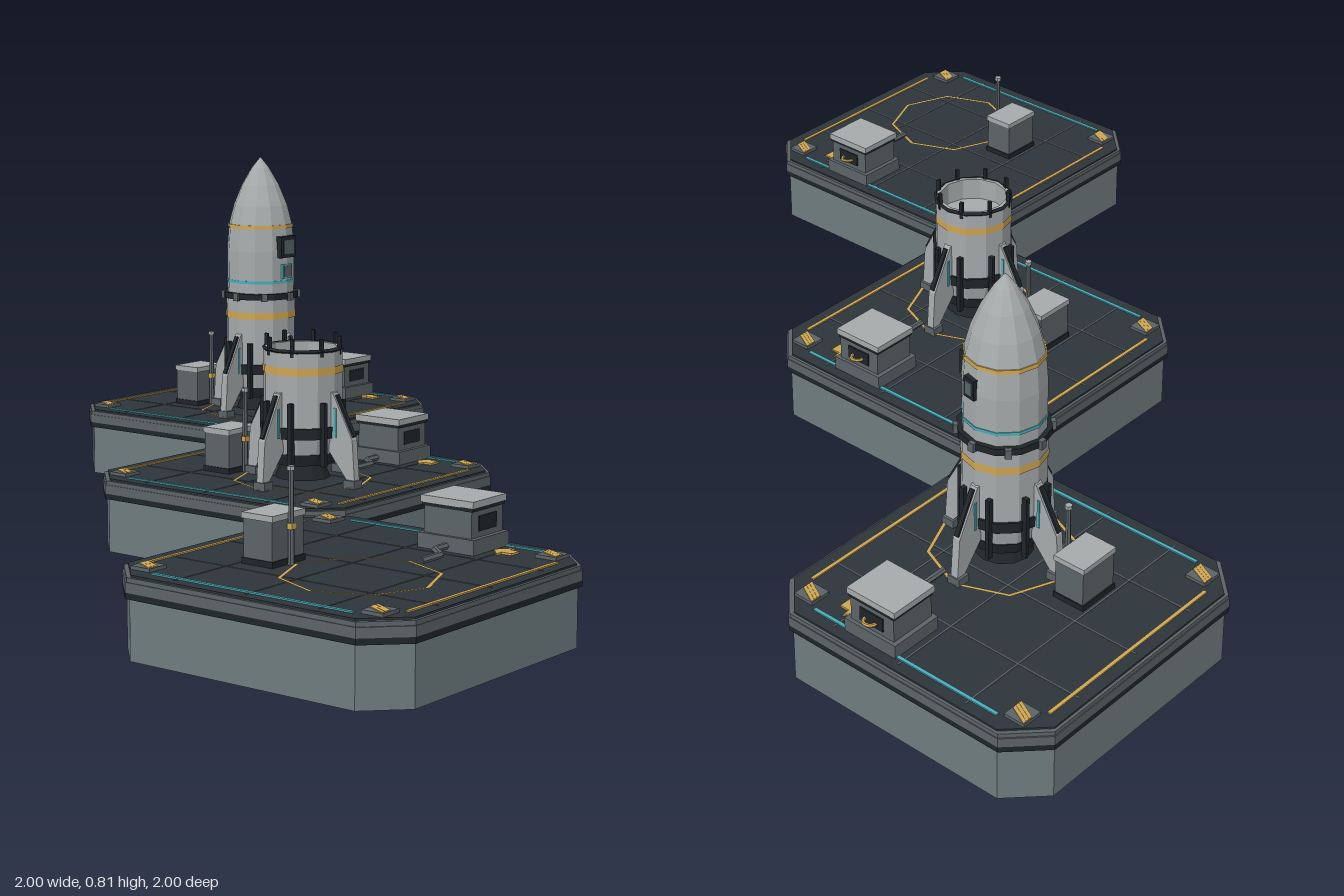
import * as THREE from 'three';

const mat = (name, color, extra = {}) => {
  const m = new THREE.MeshStandardMaterial({ color, ...extra });
  m.name = name;
  return m;
};
const HULL = mat('pale hull', 0xa6abab, { flatShading: true, side: THREE.DoubleSide });
const BASE = mat('concrete grey', 0x6f7c7f, { flatShading: true });
const DECK = mat('dark deck', 0x2d353b, { flatShading: true });
const DARK = mat('black trim', 0x1f2529, { flatShading: true });
const STEEL = mat('mid steel', 0x5c6468, { flatShading: true });
const GOLD = mat('amber marking', 0xcfa652, { flatShading: true });
const CYAN = mat('cyan marking', 0x48aebb, { flatShading: true });
const GLASS = mat('window glass', 0x56646a, { flatShading: true });

const TOP = 0.165; // deck height
const HALF = 0.344;

function add(group, name, geometry, material, x = 0, y = 0, z = 0, ry = 0) {
  const m = new THREE.Mesh(geometry, material);
  m.name = name;
  m.position.set(x, y, z);
  m.rotation.y = ry;
  group.add(m);
  return m;
}
const box = (g, name, m, w, h, d, x, y, z, ry) =>
  add(g, name, new THREE.BoxGeometry(w, h, d), m, x, y, z, ry);
const drum = (g, name, m, rTop, rBottom, y0, y1, sides = 12) =>
  add(g, name, new THREE.CylinderGeometry(rTop, rBottom, y1 - y0, sides), m, 0, (y0 + y1) / 2, 0);

// Horizontal plate from outline points (x, -z)
function plate(g, name, m, pts, y, h, x = 0, z = 0) {
  const shape = new THREE.Shape(pts.map(p => new THREE.Vector2(...p)));
  const geo = new THREE.ExtrudeGeometry(shape, { depth: h, bevelEnabled: false });
  geo.rotateX(-Math.PI / 2);
  return add(g, name, geo, m, x, y, z);
}

function chamferedSquare(s, c = 0.075) {
  const k = s - c;
  return [[-k, -s], [k, -s], [s, -k], [s, k], [k, s], [-k, s], [-s, k], [-s, -k]];
}

function platform() {
  const g = new THREE.Group();
  g.name = 'platform';
  plate(g, 'foundation', BASE, chamferedSquare(0.338), 0, 0.12);
  plate(g, 'lowerTrim', DARK, chamferedSquare(HALF), 0.12, 0.012);
  plate(g, 'rim', STEEL, chamferedSquare(HALF), 0.132, 0.02);
  plate(g, 'rimEdge', STEEL, chamferedSquare(0.342), 0.152, 0.009);
  plate(g, 'deck', DECK, chamferedSquare(0.336), 0.155, 0.01);

  // Panel seams
  for (const p of [-0.17, 0, 0.17]) {
    box(g, 'deckSeam', STEEL, 0.003, 0.002, 0.64, p, TOP, 0);
    box(g, 'deckSeam', STEEL, 0.64, 0.002, 0.003, 0, TOP, p);
  }
  // Border lines and striped corner plates
  for (const s of [-1, 1]) {
    box(g, 'amberBorder', GOLD, 0.48, 0.004, 0.008, 0, TOP + 0.001, s * 0.305);
    box(g, 'cyanBorder', CYAN, 0.008, 0.004, 0.47, s * 0.305, TOP + 0.001, 0);
    for (const t of [-1, 1]) {
      box(g, 'cornerPlate', STEEL, 0.048, 0.008, 0.048, s * 0.276, TOP + 0.003, t * 0.271);
      for (const k of [-0.014, 0, 0.014]) {
        plate(g, 'hazardStripe', GOLD,
          [[-0.015, -0.022], [-0.007, -0.022], [0.015, 0.022], [0.007, 0.022]],
          TOP + 0.006, 0.003, s * 0.276 + k * 0.6, t * 0.271);
      }
    }
  }
  // Landing ring
  const ring = new THREE.RingGeometry(0.148, 0.156, 8, 1).rotateX(-Math.PI / 2);
  add(g, 'landingRing', ring, GOLD, -0.083, TOP + 0.003, 0.083);
  // Arrow towards the supply unit
  plate(g, 'arrow', GOLD, [[-0.014, -0.025], [0.014, -0.025], [0.014, -0.002], [0.032, -0.002],
    [0, 0.025], [-0.032, -0.002], [-0.014, -0.002]], TOP, 0.004, 0.252, 0.178);
  return g;
}

function equipment() {
  const g = new THREE.Group();
  g.name = 'equipment';
  // Control cabinet with mast
  box(g, 'cabinet', STEEL, 0.095, 0.088, 0.07, -0.083, TOP + 0.044, -0.125);
  box(g, 'cabinetLid', HULL, 0.1, 0.012, 0.076, -0.083, 0.259, -0.125);
  box(g, 'cabinetFoot', DARK, 0.1, 0.012, 0.076, -0.083, TOP + 0.006, -0.125);
  add(g, 'mast', new THREE.CylinderGeometry(0.005, 0.007, 0.185, 6), STEEL, -0.083, 0.257, -0.082);
  add(g, 'mastCap', new THREE.CylinderGeometry(0.008, 0.008, 0.008, 6), HULL, -0.083, 0.351, -0.082);
  box(g, 'mastBracket', GOLD, 0.016, 0.012, 0.012, -0.083, 0.24, -0.08);

  // Supply unit
  const u = new THREE.Group();
  u.name = 'supplyUnit';
  u.position.set(0.251, 0, 0.081);
  g.add(u);
  box(u, 'unitBase', STEEL, 0.122, 0.03, 0.132, 0, TOP + 0.015, 0);
  box(u, 'unitBody', STEEL, 0.106, 0.06, 0.112, 0, 0.222, 0);
  box(u, 'unitTrim', DARK, 0.11, 0.008, 0.118, 0, 0.252, 0);
  box(u, 'unitLid', HULL, 0.114, 0.014, 0.124, 0, 0.262, 0);
  box(u, 'unitPanel', DARK, 0.006, 0.03, 0.06, 0.053, 0.222, 0);
  box(u, 'unitPanel', DARK, 0.06, 0.03, 0.006, 0, 0.222, 0.055);
  const handle = add(u, 'valveHandle', new THREE.TorusGeometry(0.014, 0.004, 6, 8, Math.PI), GOLD, 0.058, 0.22, 0);
  handle.rotation.set(Math.PI / 2, 0, -Math.PI / 2);

  // Feed pipe
  const path = new THREE.CurvePath();
  const pts = [[0.056, 0.12], [0.12, 0.12], [0.152, 0.083], [0.205, 0.083]]
    .map(([x, z]) => new THREE.Vector3(x, TOP + 0.011, z));
  for (let i = 0; i < 3; i++) path.add(new THREE.LineCurve3(pts[i], pts[i + 1]));
  add(g, 'feedPipe', new THREE.TubeGeometry(path, 18, 0.007, 6), STEEL);
  return g;
}

function booster() {
  const g = new THREE.Group();
  g.name = 'booster';
  drum(g, 'nozzle', DARK, 0.045, 0.062, 0.175, 0.215);
  drum(g, 'engineBand', DARK, 0.08, 0.074, 0.21, 0.235);
  drum(g, 'engineSkirt', HULL, 0.086, 0.078, 0.235, 0.27);
  drum(g, 'lowerBand', DARK, 0.092, 0.09, 0.27, 0.295);
  // Open-topped tank wall
  const wall = [[0.087, 0.29], [0.088, 0.465], [0.076, 0.465], [0.076, 0.415], [0, 0.415]];
  add(g, 'tank', new THREE.LatheGeometry(wall.map(p => new THREE.Vector2(...p)), 12), HULL);
  drum(g, 'amberStripe', GOLD, 0.0895, 0.0895, 0.41, 0.427).geometry =
    new THREE.CylinderGeometry(0.0895, 0.0895, 0.017, 12, 1, true);

  // Four fins with feet, cyan strips and side rods
  const outline = [[0.08, 0.375], [0.09, 0.37], [0.143, 0.272], [0.15, 0.18], [0.13, 0.18], [0.08, 0.24]];
  const finGeo = new THREE.ExtrudeGeometry(
    new THREE.Shape(outline.map(p => new THREE.Vector2(...p))), { depth: 0.018, bevelEnabled: false });
  finGeo.translate(0, 0, -0.009);
  for (let i = 0; i < 4; i++) {
    const f = new THREE.Group();
    f.name = 'fin';
    f.rotation.y = i * Math.PI / 2;
    g.add(f);
    add(f, 'finBlade', finGeo, HULL);
    box(f, 'finFoot', STEEL, 0.03, 0.018, 0.03, 0.138, TOP + 0.009, 0);
    box(f, 'finStrip', CYAN, 0.006, 0.065, 0.022, 0.097, 0.305, 0);
    const edge = box(f, 'finEdge', DARK, 0.005, 0.1, 0.01, 0.119, 0.322, 0);
    edge.rotation.z = 0.49;
    for (const s of [-1, 1]) box(f, 'sideRod', DARK, 0.012, 0.14, 0.01, 0.084, 0.28, s * 0.033);
  }
  return g;
}

// Docking rim for the unfinished vehicle
function openTop() {
  const g = new THREE.Group();
  g.name = 'openTop';
  const rim = new THREE.TorusGeometry(0.086, 0.005, 4, 12).rotateX(Math.PI / 2);
  add(g, 'topRim', rim, DARK, 0, 0.462, 0);
  for (let i = 0; i < 8; i++) {
    const a = (i + 0.5) * Math.PI / 4;
    box(g, 'dockingPin', DARK, 0.008, 0.04, 0.008, 0.083 * Math.cos(a), 0.47, 0.083 * Math.sin(a), -a);
  }
  return g;
}

function upperStage() {
  const g = new THREE.Group();
  g.name = 'upperStage';
  drum(g, 'couplingRing', DARK, 0.096, 0.096, 0.46, 0.475);
  for (let i = 0; i < 8; i++) {
    const a = i * Math.PI / 4;
    box(g, 'couplingLug', STEEL, 0.01, 0.02, 0.014, 0.096 * Math.cos(a), 0.467, 0.096 * Math.sin(a), -a);
  }
  const profile = [[0.085, 0.47], [0.086, 0.58], [0.081, 0.645], [0.068, 0.695], [0.047, 0.745],
    [0.022, 0.788], [0, 0.815]];
  add(g, 'noseHull', new THREE.LatheGeometry(profile.map(p => new THREE.Vector2(...p)), 12), HULL);
  drum(g, 'cyanStripe', CYAN, 0.087, 0.087, 0.5, 0.507);
  drum(g, 'noseStripe', GOLD, 0.083, 0.0835, 0.638, 0.647);
  // Framed windows and hatch
  const win = (angle, w, h) => {
    const p = new THREE.Group();
    p.name = 'window';
    p.rotation.y = angle;
    g.add(p);
    box(p, 'windowFrame', DARK, w, h, 0.016, 0, 0.592, 0.083);
    box(p, 'windowPane', GLASS, w * 0.65, h * 0.65, 0.004, 0, 0.592, 0.091);
  };
  win(0, 0.058, 0.054);
  win(Math.PI * 0.45, 0.03, 0.045);
  box(g, 'hatchFrame', CYAN, 0.036, 0.036, 0.008, 0, 0.53, 0.083);
  box(g, 'hatch', STEEL, 0.028, 0.028, 0.008, 0, 0.53, 0.085);
  return g;
}

export function createModel() {
  const model = new THREE.Group();
  model.name = 'launchPadStages';
  // Empty pad, booster only, complete vehicle
  for (let stage = 0; stage < 3; stage++) {
    const pad = new THREE.Group();
    pad.name = ['emptyPad', 'boosterPad', 'completePad'][stage];
    pad.position.set((stage - 1) * 0.656, 0, (1 - stage) * 0.656);
    pad.add(platform(), equipment());
    if (stage > 0) {
      const rocket = new THREE.Group();
      rocket.name = 'rocket';
      rocket.position.set(-0.083, 0, 0.083);
      rocket.add(booster(), stage === 1 ? openTop() : upperStage());
      pad.add(rocket);
    }
    model.add(pad);
  }
  return model;
}
